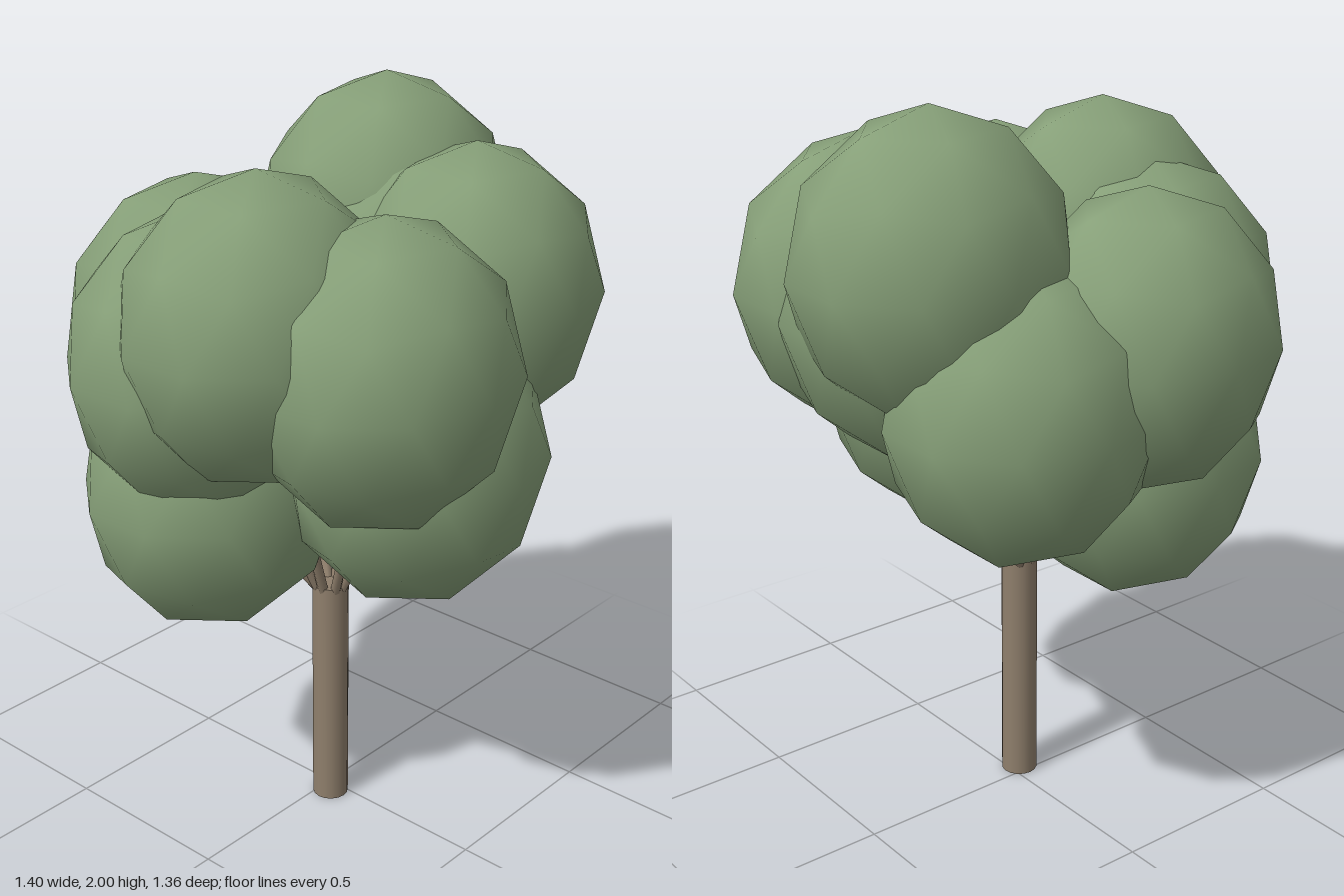
import * as THREE from 'three';

const leafMaterial = new THREE.MeshStandardMaterial({ color: 0x869f78 });
const barkMaterial = new THREE.MeshStandardMaterial({ color: 0x8f7f6c });

const TRUNK_X = -0.03, TRUNK_Z = 0.03, TRUNK_RADIUS = 0.05, TRUNK_HEIGHT = 0.68;

// Centres of the foliage clumps
const CLUMPS = [
  [0.35, 1.605, -0.11],
  [-0.35, 1.515, 0.08],
  [0.295, 1.485, 0.235],
  [0.295, 1.46, 0.02],
  [-0.2, 1.425, 0.35],
  [-0.35, 1.39, -0.11],
  [-0.13, 1.385, -0.35],
  [0.21, 1.255, -0.29],
  [-0.005, 1.135, 0.3],
  [-0.26, 1.0, -0.175],
];

// Tapered rod between two points
function rod(from, to, r0, r1, sides) {
  const dir = to.clone().sub(from);
  const mesh = new THREE.Mesh(new THREE.CylinderGeometry(r1, r0, dir.length(), sides), barkMaterial);
  mesh.position.copy(from).add(to).multiplyScalar(0.5);
  mesh.quaternion.setFromUnitVectors(new THREE.Vector3(0, 1, 0), dir.normalize());
  return mesh;
}

export function createModel() {
  const tree = new THREE.Group();
  tree.name = 'tree';

  // Trunk
  const top = new THREE.Vector3(TRUNK_X, TRUNK_HEIGHT, TRUNK_Z);
  const trunk = rod(new THREE.Vector3(TRUNK_X, 0, TRUNK_Z), top, TRUNK_RADIUS, TRUNK_RADIUS, 16);
  trunk.name = 'trunk';
  tree.add(trunk);

  // Foliage ball: icosphere turned to stand on a vertex, slightly stretched
  const ball = new THREE.IcosahedronGeometry(1, 1);
  ball.rotateZ(-Math.atan(2 / (1 + Math.sqrt(5))));
  ball.scale(0.368, 0.395, 0.33);

  const foliage = new THREE.Group();
  foliage.name = 'foliage';
  const branches = new THREE.Group();
  branches.name = 'branches';
  tree.add(foliage, branches);

  CLUMPS.forEach(([x, y, z], i) => {
    const clump = new THREE.Mesh(ball, leafMaterial);
    clump.name = `foliageClump${i + 1}`;
    clump.position.set(x, y, z);
    foliage.add(clump);

    // Branch from the rim of the trunk towards the clump's centre
    const outward = new THREE.Vector3(x - TRUNK_X, 0, z - TRUNK_Z).setLength(0.035);
    const start = top.clone().add(outward);
    start.y -= 0.015;
    const end = start.clone().lerp(clump.position, 0.9);
    const branch = rod(start, end, 0.014, 0.012, 8);
    branch.name = `branch${i + 1}`;
    branches.add(branch);
  });

  return tree;
}
